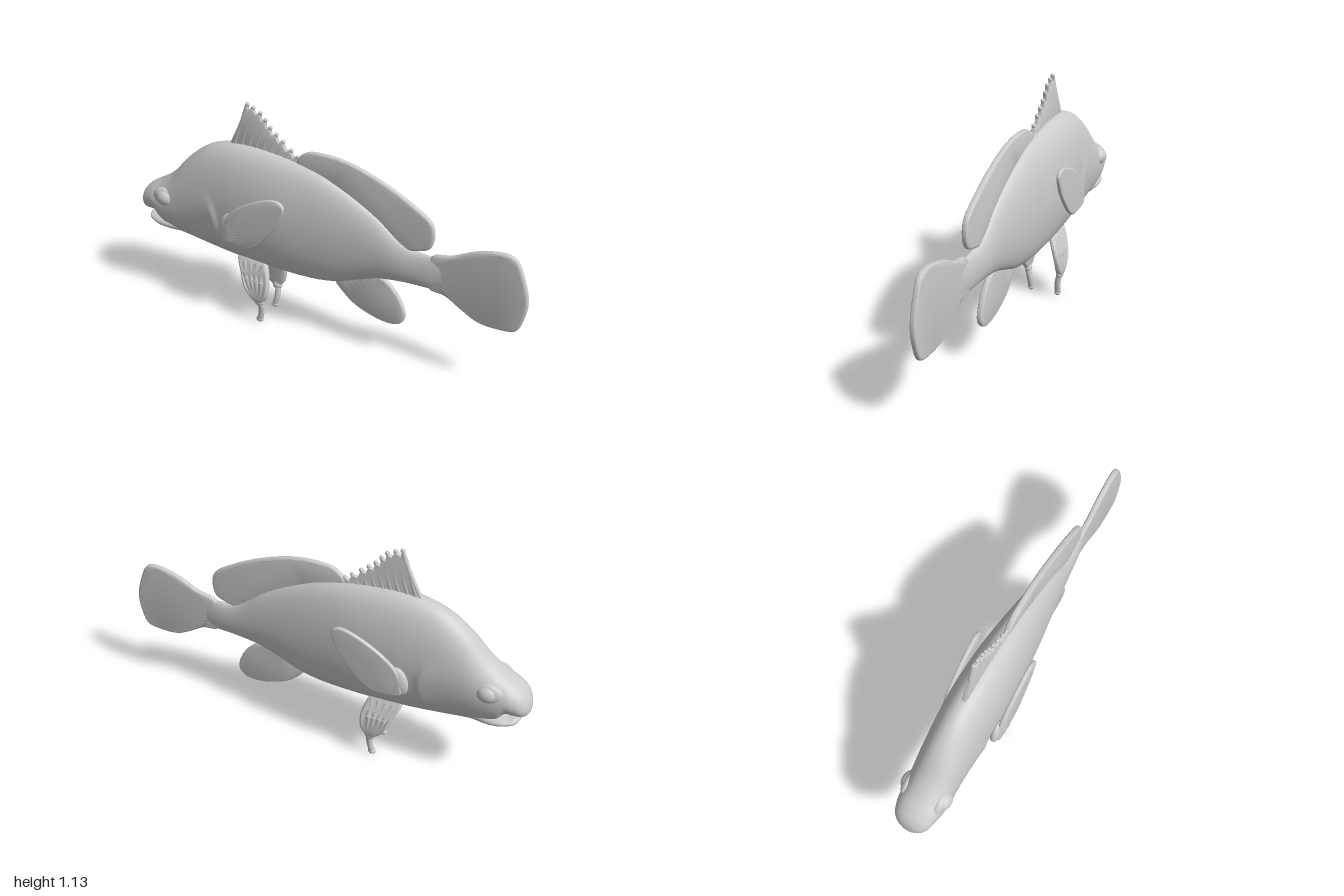
import * as THREE from 'three';
import { toCreasedNormals } from 'three/addons/utils/BufferGeometryUtils.js';

const material = new THREE.MeshStandardMaterial({ color: 0xcccccc });

function add(parent, name, geometry, position = [0, 0, 0], scale = [1, 1, 1]) {
  const mesh = new THREE.Mesh(geometry, material);
  mesh.name = name;
  mesh.position.set(...position);
  mesh.scale.set(...scale);
  parent.add(mesh);
  return mesh;
}

// Elliptical loft along x; each row is [x, top, bottom, halfWidth]
function loft(rows, rings, segs, widen = () => 1) {
  const spline = new THREE.CubicInterpolant(
    rows.map(r => r[0]), rows.flatMap(r => r.slice(1)), 3, new Float32Array(3));
  const x0 = rows[0][0], x1 = rows[rows.length - 1][0];
  const pos = [], index = [];
  for (let i = 0; i <= rings; i++) {
    const x = x0 + (x1 - x0) * Math.pow(i / rings, 1.4);
    const [top, bottom, width] = spline.evaluate(x);
    for (let j = 0; j < segs; j++) {
      const a = (j / segs) * Math.PI * 2, c = Math.cos(a);
      const y = (top + bottom) / 2 + (top - bottom) / 2 * Math.sin(a);
      pos.push(x, y, width * Math.sign(c) * Math.pow(Math.abs(c), 0.92) * widen(x, y));
    }
  }
  for (let i = 0; i < rings; i++) {
    for (let j = 0; j < segs; j++) {
      const k = (j + 1) % segs, p = i * segs, q = p + segs;
      index.push(p + j, q + j, p + k, p + k, q + j, q + k);
    }
  }
  // End caps
  const start = pos.length / 3, last = rings * segs;
  for (const r of [rows[0], rows[rows.length - 1]]) pos.push(r[0], (r[1] + r[2]) / 2, 0);
  for (let j = 0; j < segs; j++) {
    const k = (j + 1) % segs;
    index.push(start, j, k, start + 1, last + k, last + j);
  }
  const g = new THREE.BufferGeometry();
  g.setAttribute('position', new THREE.Float32BufferAttribute(pos, 3));
  g.setIndex(index);
  g.computeVertexNormals();
  return g;
}

// Thin plate with rounded edges, z = 0 at its middle; smooth rounds the outline
function finPlate(points, half, smooth = true, bend = null) {
  let pts = points.map(p => new THREE.Vector2(...p));
  if (smooth) {
    pts = new THREE.CatmullRomCurve3(pts.map(p => new THREE.Vector3(p.x, p.y, 0)), true)
      .getPoints(70).slice(0, -1).map(p => new THREE.Vector2(p.x, p.y));
  }
  const bevel = half * 0.85, depth = 2 * (half - bevel);
  const g = new THREE.ExtrudeGeometry(new THREE.Shape(pts), {
    depth, bevelEnabled: true, bevelThickness: bevel, bevelSize: smooth ? bevel : bevel * 0.4,
    bevelOffset: smooth ? -bevel : -bevel * 0.4, bevelSegments: 4,
  });
  g.translate(0, 0, -depth / 2);
  if (bend) {
    const p = g.attributes.position;
    for (let i = 0; i < p.count; i++) p.setZ(i, p.getZ(i) + bend(p.getY(i)));
  }
  return toCreasedNormals(g, 0.7);
}

// Tapered fin ray between two points
function ray(parent, from, to, r0, r1) {
  const a = new THREE.Vector3(...from), b = new THREE.Vector3(...to);
  const mesh = add(parent, 'finRay', new THREE.CylinderGeometry(r1, r0, a.distanceTo(b), 10),
    a.clone().lerp(b, 0.5).toArray());
  mesh.quaternion.setFromUnitVectors(new THREE.Vector3(0, 1, 0), b.sub(a).normalize());
}

// Fan of rays from one root line to one edge line
function fan(parent, count, rootA, rootB, edgeA, edgeB, r, bulge = 0) {
  const mix = (a, b, t) => a.map((v, i) => v + (b[i] - v) * t);
  for (let i = 0; i < count; i++) {
    const t = i / (count - 1), end = mix(edgeA, edgeB, t);
    end[0] += bulge * Math.sin(Math.PI * t);
    ray(parent, mix(rootA, rootB, t), end, r, r * 0.7);
  }
}

// Raised rear edge of the gill cover
function gillRidge(x, y) {
  const ahead = -0.52 - 2.6 * (y - 0.53) ** 2 - x;
  const fade = THREE.MathUtils.smoothstep(y, 0.33, 0.44) * (1 - THREE.MathUtils.smoothstep(y, 0.58, 0.7));
  const ridge = ahead > 0 ? Math.exp(-ahead / 0.09) : Math.exp(-((ahead / 0.018) ** 2));
  return 1 + 0.07 * fade * ridge;
}

export function createModel() {
  const fish = new THREE.Group();
  fish.name = 'fish';

  // Body with an undercut upper lip
  add(fish, 'body', loft([
    [-1, 0.51, 0.475, 0.02], [-0.992, 0.54, 0.463, 0.045], [-0.97, 0.577, 0.455, 0.075],
    [-0.93, 0.608, 0.455, 0.093], [-0.9, 0.625, 0.453, 0.1], [-0.87, 0.643, 0.41, 0.104],
    [-0.8, 0.695, 0.372, 0.107], [-0.7, 0.8, 0.352, 0.109], [-0.6, 0.875, 0.335, 0.112],
    [-0.5, 0.912, 0.322, 0.116], [-0.4, 0.925, 0.314, 0.119], [-0.2, 0.913, 0.305, 0.114],
    [0, 0.872, 0.31, 0.093], [0.1, 0.832, 0.33, 0.081], [0.2, 0.782, 0.37, 0.068],
    [0.3, 0.72, 0.408, 0.055], [0.4, 0.64, 0.425, 0.042], [0.46, 0.608, 0.43, 0.034],
    [0.55, 0.597, 0.432, 0.023], [0.64, 0.585, 0.445, 0.009],
  ], 180, 48, gillRidge));

  add(fish, 'lowerJaw', loft([
    [-0.965, 0.432, 0.418, 0.015], [-0.955, 0.44, 0.406, 0.045], [-0.92, 0.44, 0.395, 0.073],
    [-0.85, 0.446, 0.381, 0.088], [-0.75, 0.45, 0.37, 0.07],
  ], 30, 32));

  // Spiny front dorsal fin
  const spiny = new THREE.Group();
  spiny.name = 'spinyDorsalFin';
  fish.add(spiny);
  const crest = new THREE.SplineCurve([[-0.372, 1.125], [-0.305, 1.095], [-0.255, 1.035],
    [-0.19, 0.98], [-0.115, 0.92]].map(p => new THREE.Vector2(...p)));
  const spines = 9, outline = [[-0.12, 0.86], [-0.46, 0.88], [-0.47, 0.92], [-0.43, 1.0]];
  for (let i = 0; i < spines; i++) {
    const t = i / (spines - 1), tip = crest.getPoint(t);
    outline.push([tip.x, tip.y]);
    if (i < spines - 1) {
      const notch = crest.getPoint(t + 0.6 / (spines - 1));
      outline.push([notch.x - 0.01, notch.y - 0.018]);
    }
    ray(spiny, [-0.455 + 0.3 * t, 0.89, 0], [tip.x, tip.y, 0], 0.014, 0.009);
    add(spiny, 'spineTip', new THREE.SphereGeometry(0.01, 10, 8), [tip.x, tip.y, 0]);
  }
  add(spiny, 'web', finPlate(outline.reverse(), 0.01, false));

  // Soft rear dorsal fin
  const soft = new THREE.Group();
  soft.name = 'softDorsalFin';
  fish.add(soft);
  add(soft, 'web', finPlate([[-0.12, 0.9], [-0.07, 0.955], [0.04, 0.968], [0.17, 0.95],
    [0.33, 0.893], [0.465, 0.823], [0.545, 0.765], [0.562, 0.7], [0.545, 0.636], [0.49, 0.61],
    [0.42, 0.6], [0.3, 0.68], [0.1, 0.8], [-0.08, 0.86]], 0.014));
  fan(soft, 11, [-0.05, 0.87, 0], [0.4, 0.63, 0], [0.05, 0.945, 0], [0.525, 0.67, 0], 0.0155, 0.05);

  // Tail fin
  const tail = new THREE.Group();
  tail.name = 'tailFin';
  fish.add(tail);
  add(tail, 'web', finPlate([[0.55, 0.595], [0.65, 0.63], [0.76, 0.685], [0.88, 0.71],
    [0.93, 0.695], [0.973, 0.61], [1, 0.51], [0.995, 0.43], [0.963, 0.342], [0.89, 0.325],
    [0.79, 0.33], [0.71, 0.37], [0.63, 0.417], [0.55, 0.435]], 0.014));
  fan(tail, 8, [0.6, 0.57, 0], [0.6, 0.46, 0], [0.87, 0.65, 0], [0.87, 0.385, 0], 0.015, 0.06);

  // Anal fin
  const anal = new THREE.Group();
  anal.name = 'analFin';
  fish.add(anal);
  add(anal, 'web', finPlate([[0.08, 0.34], [0.13, 0.272], [0.2, 0.22], [0.33, 0.18],
    [0.41, 0.187], [0.444, 0.23], [0.43, 0.3], [0.385, 0.37], [0.33, 0.415], [0.25, 0.43],
    [0.14, 0.4]], 0.014));
  fan(anal, 6, [0.13, 0.34, 0], [0.29, 0.4, 0], [0.24, 0.23, 0], [0.4, 0.29, 0], 0.0155, 0.03);

  // Paired parts on both flanks
  for (const s of [1, -1]) {
    const side = s > 0 ? 'left' : 'right';

    add(fish, side + 'Eyelid', new THREE.SphereGeometry(1, 28, 20), [-0.82, 0.572, s * 0.082], [0.07, 0.054, 0.03]);
    add(fish, side + 'Eye', new THREE.SphereGeometry(1, 28, 20), [-0.818, 0.575, s * 0.085], [0.05, 0.043, 0.039]);

    // Pectoral fin and its fleshy root
    const pectoral = new THREE.Group();
    pectoral.name = side + 'PectoralFin';
    pectoral.position.z = s * 0.139;
    fish.add(pectoral);
    add(pectoral, 'web', finPlate([[-0.45, 0.52], [-0.417, 0.61], [-0.283, 0.71], [-0.15, 0.754],
      [-0.112, 0.727], [-0.128, 0.663], [-0.176, 0.583], [-0.294, 0.465], [-0.39, 0.458],
      [-0.45, 0.475]], 0.01));
    fan(pectoral, 7, [-0.42, 0.56, 0], [-0.41, 0.49, 0], [-0.17, 0.72, 0], [-0.28, 0.5, 0], 0.0115, 0.03);
    const root = add(pectoral, 'root', new THREE.SphereGeometry(1, 24, 16), [-0.43, 0.535, -s * 0.014], [0.045, 0.075, 0.024]);
    root.rotation.z = -0.25;

    // Pelvic fin, bowed outwards, ending in a short stalk
    const pelvic = new THREE.Group();
    pelvic.name = side + 'PelvicFin';
    fish.add(pelvic);
    const bow = y => s * (0.09 - 1.3 * Math.max(0, y - 0.165) ** 2 - 0.09 * Math.max(0, y - 0.2));
    add(pelvic, 'web', finPlate([[-0.43, 0.345], [-0.4, 0.257], [-0.375, 0.193], [-0.337, 0.144],
      [-0.3, 0.123], [-0.257, 0.15], [-0.24, 0.22], [-0.255, 0.3], [-0.29, 0.35]], 0.015, true, bow));
    for (let i = 0; i < 4; i++) {
      const x = -0.39 + i * 0.035, e = -0.335 + i * 0.018;
      ray(pelvic, [x, 0.32, bow(0.32)], [(x + e) / 2, 0.24, bow(0.24)], 0.0165, 0.0165);
      ray(pelvic, [(x + e) / 2, 0.24, bow(0.24)], [e, 0.16, bow(0.16)], 0.0165, 0.013);
    }
    const path = new THREE.CatmullRomCurve3([[-0.3, 0.15, 0.089], [-0.289, 0.115, 0.084],
      [-0.29, 0.07, 0.076], [-0.302, 0.015, 0.073]].map(([x, y, z]) => new THREE.Vector3(x, y, s * z)));
    add(pelvic, 'stalk', new THREE.TubeGeometry(path, 20, 0.015, 14));
    add(pelvic, 'stalkJoint', new THREE.SphereGeometry(1, 16, 12), [-0.294, 0.128, s * 0.086], [0.026, 0.022, 0.018]);
    add(pelvic, 'stalkTip', new THREE.SphereGeometry(1, 16, 12), [-0.303, 0.015, s * 0.073], [0.02, 0.015, 0.016]);
  }
  return fish;
}
